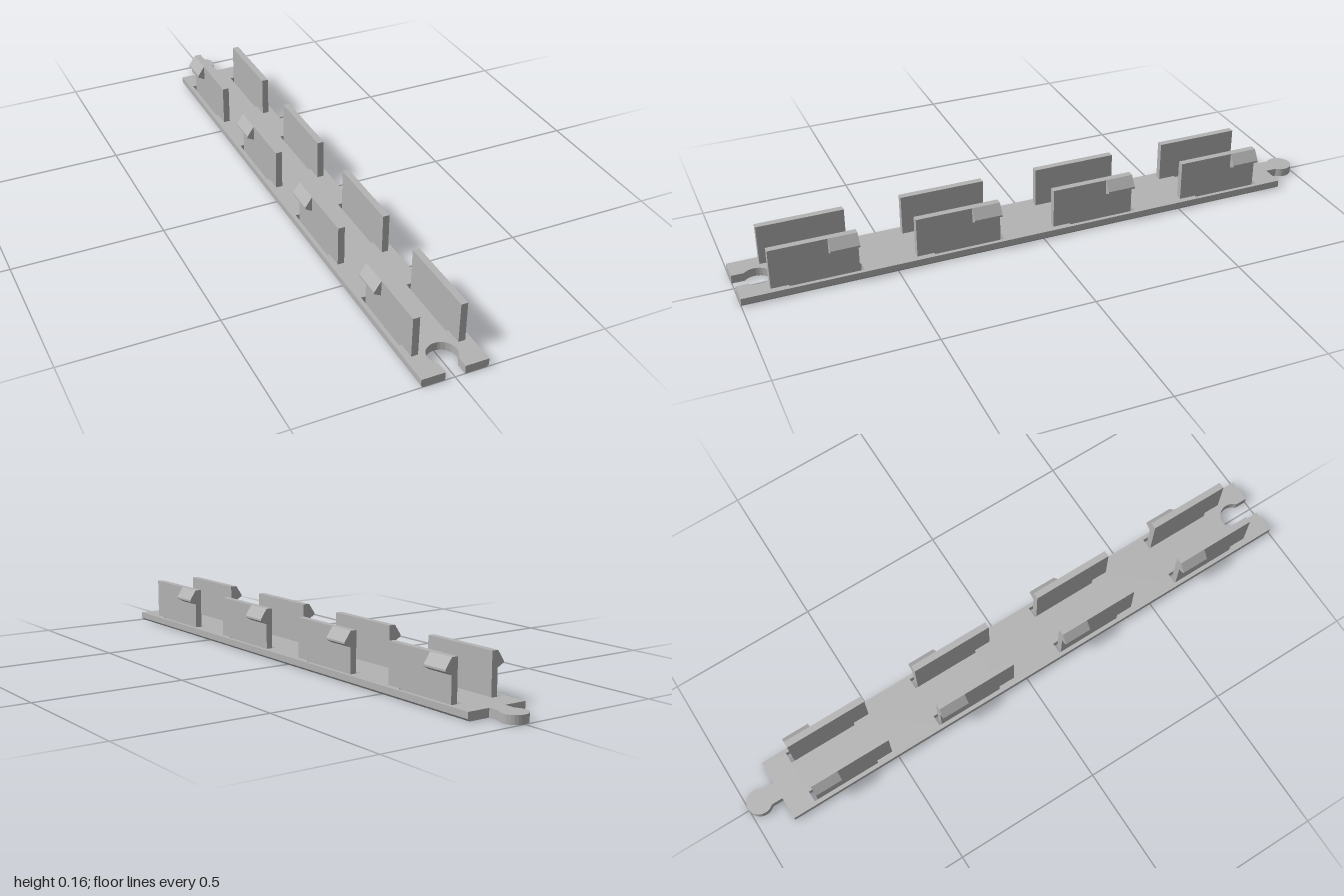
import * as THREE from 'three';
import { toCreasedNormals } from 'three/addons/utils/BufferGeometryUtils.js';

const HALF = 0.108, THICK = 0.028, CHAMFER = 0.006;
const WALL_IN = 0.065, WALL_OUT = 0.087, TOP = 0.162, WALL_LEN = 0.283;
const BACKS = [0, 1, 2, 3].map((i) => -0.795 + i * 0.4715); // rear end of each clip wall

// Outline of the strip, drawn with shape y = -z
function baseShape() {
  const s = new THREE.Shape();
  s.moveTo(-HALF, -1);
  s.lineTo(-0.032, -1);
  s.absarc(0, -0.925, 0.047, Math.PI + 0.822, -0.822, true); // socket
  s.lineTo(0.032, -1);
  s.lineTo(HALF, -1);
  s.lineTo(HALF, 0.89);
  s.lineTo(0.03, 0.89);
  s.absarc(0, 0.958, 0.042, -0.775, Math.PI + 0.775, false); // tab
  s.lineTo(-0.03, 0.89);
  s.lineTo(-HALF, 0.89);
  s.closePath();
  // Relief slots around the free end of every wall
  for (const side of [-1, 1]) {
    for (const back of BACKS) {
      const x0 = side * 0.057, x1 = side * 0.095;
      const y0 = -(back - 0.012), y1 = y0 - 0.238;
      s.holes.push(new THREE.Path([[x0, y0], [x1, y0], [x1, y1], [x0, y1]]
        .map(([x, y]) => new THREE.Vector2(x, y))));
    }
  }
  return s;
}

function baseGeometry() {
  const g = new THREE.ExtrudeGeometry(baseShape(), {
    depth: THICK, steps: 4, bevelEnabled: false, curveSegments: 32,
  });
  g.rotateX(-Math.PI / 2);
  // Chamfer the long lower edges
  const p = g.attributes.position;
  for (let i = 0; i < p.count; i++) {
    if (p.getY(i) < 0.001 && Math.abs(p.getX(i)) > HALF - 0.001) {
      p.setX(i, Math.sign(p.getX(i)) * (HALF - CHAMFER));
    }
  }
  return toCreasedNormals(g, 0.5);
}

// Wedge-shaped catch on the outside of a wall
function catchGeometry(side) {
  const profile = [[WALL_OUT, 0.11], [0.11, 0.122], [0.11, 0.128], [WALL_OUT, TOP]];
  const s = new THREE.Shape(profile.map(([x, y]) => new THREE.Vector2(side * x, y)));
  return new THREE.ExtrudeGeometry(s, { depth: 0.095, bevelEnabled: false });
}

export function createModel() {
  const model = new THREE.Group();
  model.name = 'clipStrip';
  const grey = new THREE.MeshStandardMaterial({ color: 0xb3b3b3 });
  grey.name = 'greyPlastic';

  const add = (parent, name, geometry, x = 0, y = 0, z = 0) => {
    const mesh = new THREE.Mesh(geometry, grey);
    mesh.name = name;
    mesh.position.set(x, y, z);
    parent.add(mesh);
  };

  add(model, 'baseStrip', baseGeometry());

  // Walls reach down through the slots and join the base at their front end
  const bottom = 0.0005;
  const wall = new THREE.BoxGeometry(WALL_OUT - WALL_IN, TOP - bottom, WALL_LEN);
  for (const side of [-1, 1]) {
    const hook = catchGeometry(side);
    BACKS.forEach((back, i) => {
      const clip = new THREE.Group();
      clip.name = `${side > 0 ? 'left' : 'right'}Clip${i + 1}`;
      add(clip, 'clipWall', wall, side * (WALL_IN + WALL_OUT) / 2, (TOP + bottom) / 2, back + WALL_LEN / 2);
      add(clip, 'clipCatch', hook, 0, 0, back);
      model.add(clip);
    });
  }
  return model;
}
